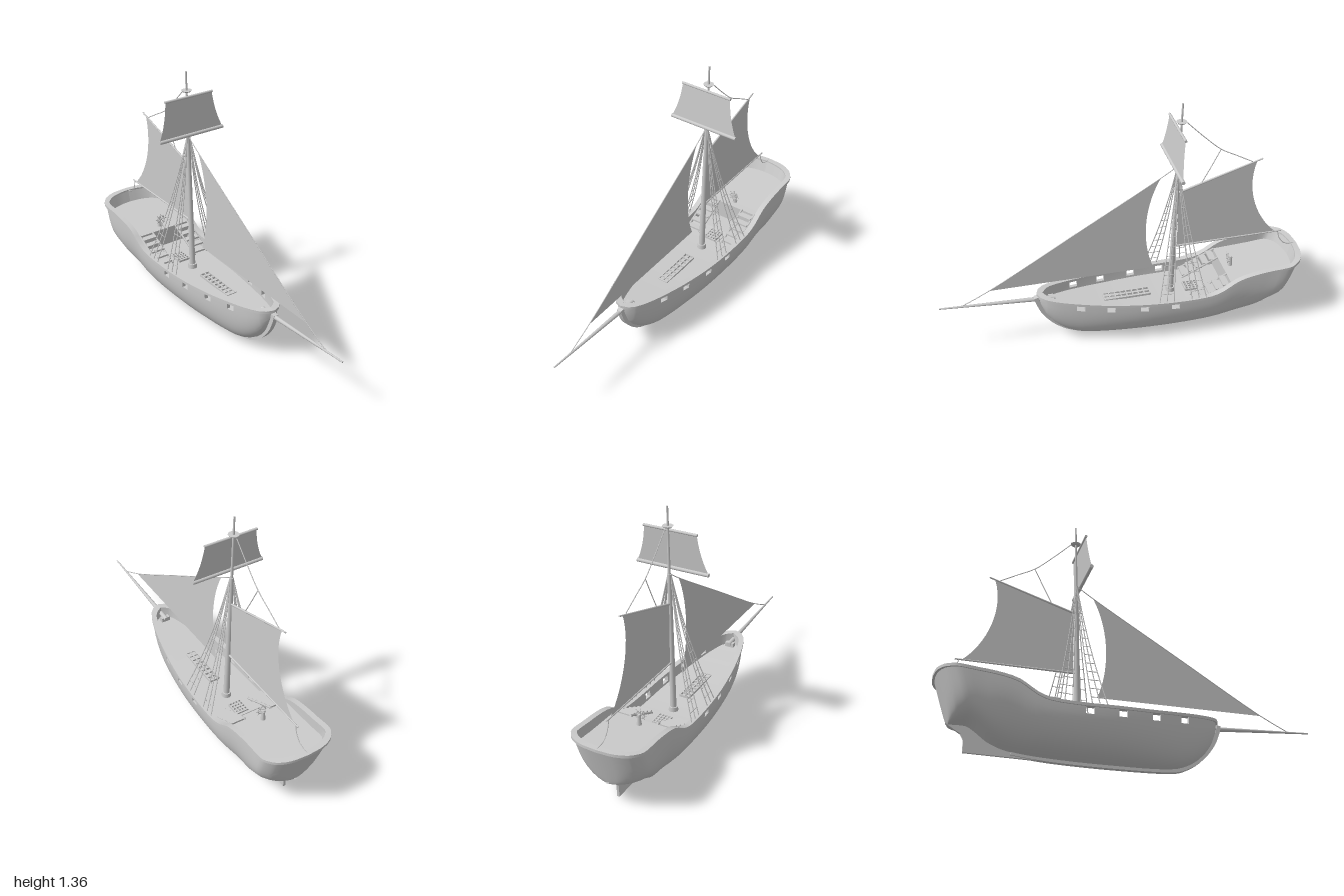
import * as THREE from 'three';
import { toCreasedNormals } from 'three/addons/utils/BufferGeometryUtils.js';

const solid = new THREE.MeshStandardMaterial({ color: 0xcccccc });
const thin = new THREE.MeshStandardMaterial({ color: 0xcccccc, side: THREE.DoubleSide });
const V = (x, y, z) => new THREE.Vector3(x, y, z);
const clamp = THREE.MathUtils.clamp;

// Smooth lookup through [s, value] pairs
function lookup(t) {
  const slope = i => {
    const a = t[Math.max(i - 1, 0)], b = t[Math.min(i + 1, t.length - 1)];
    return (b[1] - a[1]) / (b[0] - a[0]);
  };
  return s => {
    let i = 0;
    while (i < t.length - 2 && s > t[i + 1][0]) i++;
    const h = t[i + 1][0] - t[i][0], u = clamp((s - t[i][0]) / h, 0, 1), v = 1 - u;
    return (1 + 2 * u) * v * v * t[i][1] + u * v * v * h * slope(i)
      + u * u * (3 - 2 * u) * t[i + 1][1] - u * u * v * h * slope(i + 1);
  };
}

// Hull lines by station (stern -1 to bow 0.48): half breadth, keel height, rail height
const beamTable = [[-1, 0], [-.995, .07], [-.98, .125], [-.95, .17], [-.9, .2], [-.8, .2], [-.5, .2], [-.3, .197],
  [-.1, .187], [.1, .16], [.25, .13], [.36, .1], [.43, .07], [.465, .04], [.48, 0]];
const keelTable = [[-1, .15], [-.9, .15], [-.84, .125], [-.75, .08], [-.6, .04], [-.4, .023], [-.1, .018],
  [.2, .025], [.3, .05], [.38, .105], [.44, .18], [.47, .25], [.48, .29]];
const beam = lookup(beamTable), keelY = lookup(keelTable);
const railY = lookup([[-1, .4], [-.85, .385], [-.7, .37], [-.6, .345], [-.52, .295], [-.45, .27], [-.3, .262],
  [-.1, .267], [.1, .277], [.3, .294], [.48, .31]]);
const deckY = s => s < -.57 ? .31 - (s + .57) * .05 : s < -.45 ? .204 : railY(s) - .062;

// Point on the hull skin at station s and height y, moved inward by inset
function skin(s, y, inset, side) {
  const k = keelY(s), r = railY(s);
  y = Math.max(y, k);
  const u = clamp((y - k) / (r - k), 0, 1);
  const stern = THREE.MathUtils.smoothstep(-s, .6, .95);
  const p = 2.5 + 1.5 * stern;
  const full = Math.pow(1 - Math.pow(1 - u, p), 1 / p);
  const end = s < -.9 ? (-.9 - s) / .1 : s > .4 ? -(s - .4) / .08 : 0;
  return [side * Math.max(0, beam(s) - inset) * full, y, s + .08 * stern * (1 - u) + inset * end];
}

// Surface from a grid of points, with optional missing cells
function grid(nu, nv, fn, skip = () => false) {
  const pos = [], index = [];
  for (let i = 0; i < nu; i++) for (let j = 0; j < nv; j++) pos.push(...fn(i, j));
  for (let i = 0; i < nu - 1; i++) for (let j = 0; j < nv - 1; j++) {
    if (skip(i, j)) continue;
    const a = i * nv + j, b = a + nv;
    index.push(a, a + 1, b, b, a + 1, b + 1);
  }
  const g = new THREE.BufferGeometry();
  g.setAttribute('position', new THREE.Float32BufferAttribute(pos, 3));
  g.setIndex(index);
  return toCreasedNormals(g, .6);
}

export function createModel() {
  const ship = new THREE.Group();
  ship.name = 'sailingShip';
  const add = (name, geo, mat = solid, parent = ship) => {
    const m = new THREE.Mesh(geo, mat);
    m.name = name;
    parent.add(m);
    return m;
  };
  const box = (name, w, h, d, x, y, z, parent) =>
    add(name, new THREE.BoxGeometry(w, h, d), solid, parent).position.set(x, y, z);
  const rod = (name, a, b, r0, r1 = r0, n = 10, parent = ship) => {
    const d = b.clone().sub(a);
    const m = add(name, new THREE.CylinderGeometry(r1, r0, d.length(), n), solid, parent);
    m.position.copy(a).add(b).multiplyScalar(.5);
    m.quaternion.setFromUnitVectors(V(0, 1, 0), d.normalize());
  };
  const rope = (name, pts, r = .0025, parent = ship) =>
    add(name, new THREE.TubeGeometry(new THREE.CatmullRomCurve3(pts), 16, r, 5), solid, parent);

  // Stations, with extra ones at the port edges and the deck step
  const ports = [.26, .1, -.08, -.25], half = .022;
  const st = beamTable.map(e => e[0]);
  for (let s = -.96; s < .48; s += .04) st.push(s);
  for (const p of ports) st.push(p - half, p + half);
  st.push(-.5705, -.5695, -.4505, -.4495, -.99, -.965, .475);
  st.sort((a, b) => a - b);
  const N = st.length;
  const inPort = i => ports.some(p => Math.abs((st[i] + st[i + 1]) / 2 - p) < half);
  const sill = s => railY(s) - .05, lintel = s => railY(s) - .012;

  // Hull skin from rail to rail under the keel
  const R = 14, top = R + 2;
  add('hull', grid(N, 2 * top + 1, (i, j) => {
    const s = st[i], n = Math.abs(j - top), k = keelY(s);
    const y = n <= R ? k + Math.max(0, sill(s) - k) * (1 - Math.cos(n / R * Math.PI / 2))
      : n === R + 1 ? lintel(s) : railY(s);
    return skin(s, y, .008, Math.sign(j - top));
  }, (i, j) => inPort(i) && (j === 1 || j === 2 * top - 2)), thin);

  // Inner bulwarks, rail cap and port reveals on both sides
  for (const side of [-1, 1]) {
    add('bulwark', grid(N, 4, (i, j) => {
      const s = st[i];
      const y = [deckY(s), Math.max(deckY(s), sill(s)), lintel(s), railY(s)][j];
      return skin(s, y, .028, side);
    }, (i, j) => j === 1 && inPort(i)), thin);
    add('railCap', grid(N, 5, (i, j) => {
      const s = st[i], p = skin(s, railY(s), j === 1 || j === 2 ? .03 : 0, side);
      p[1] += j === 2 || j === 3 ? -.013 : .002;
      return p;
    }), thin);
    for (const c of ports) add('gunPort', grid(5, 2, (i, j) => {
      const s = c + (i === 1 || i === 2 ? half : -half);
      return skin(s, i > 1 && i < 4 ? lintel(s) : sill(s), j ? .028 : .008, side);
    }), thin);
  }
  // Main deck and raised quarterdeck in one stepped sheet
  add('deck', grid(N, 3, (i, j) => skin(st[i], deckY(st[i]), .028, j - 1)), thin);

  // Keel with stem, and the fin below the stern
  const profile = (name, pts, depth) => {
    const g = new THREE.ExtrudeGeometry(new THREE.Shape(pts), { depth, bevelEnabled: false });
    add(name, toCreasedNormals(g.translate(0, 0, -depth / 2).rotateY(-Math.PI / 2), .5));
  };
  const line = new THREE.SplineCurve(keelTable.slice(4).map(e => new THREE.Vector2(...e)));
  const edge = off => line.getPoints(40).map((p, i) => {
    const t = line.getTangent(i / 40);
    return new THREE.Vector2(p.x + t.y * off, p.y - t.x * off);
  });
  profile('keel', [...edge(.015), ...edge(-.008).reverse()], .028);
  profile('sternFin', [[-.35, .01], [-.57, .014], [-.83, .018], [-.83, .08], [-.845, .11], [-.92, .155], [-.88, .19],
    [-.6, .07], [-.35, .035]].map(p => new THREE.Vector2(...p)), .014);

  // Spars
  const mastZ = y => -.27 - .03 * (y - .2);
  const mastAt = y => V(0, y, mastZ(y));
  rod('mast', mastAt(.2), mastAt(1), .017, .011, 14);
  rod('topmast', mastAt(.94), mastAt(1.36), .008, .005);
  const crosstree = add('crosstree', new THREE.CylinderGeometry(.028, .022, .007, 16));
  crosstree.position.copy(mastAt(1.255));
  rod('mastCollar', mastAt(.2), mastAt(.225), .026, .024, 14);
  rod('bowsprit', V(0, .268, .38), V(0, .304, 1), .014, .004);
  box('bowspritBitt', .05, .025, .025, 0, .262, .4);
  rod('gaff', V(0, .838, -.3), V(0, .982, -.755), .006, .004);
  rod('boom', V(0, .497, -.28), V(0, .5, -.9), .006, .004);
  rod('lowerYard', V(-.2, 1.022, -.26), V(.2, 1.022, -.26), .01);
  rod('upperYard', V(-.148, 1.228, -.281), V(.148, 1.228, -.281), .007);

  // Sails
  const sail = (name, build) => {
    const shape = new THREE.Shape();
    build(shape);
    return add(name, new THREE.ShapeGeometry(shape, 16), thin);
  };
  sail('jib', s => s.moveTo(.73, .375).lineTo(-.2, .94)
    .bezierCurveTo(-.1, .75, -.11, .52, -.17, .375)).rotation.y = -Math.PI / 2;
  sail('spanker', s => s.moveTo(-.3, .5).lineTo(-.3, .838).lineTo(-.725, .97)
    .bezierCurveTo(-.67, .8, -.75, .6, -.865, .5)).rotation.y = -Math.PI / 2;
  const topsail = sail('topsail', s => s.moveTo(-.2, 0).lineTo(.2, 0).quadraticCurveTo(.155, .09, .145, .207)
    .lineTo(-.145, .207).quadraticCurveTo(-.155, .09, -.2, 0));
  topsail.position.set(0, 1.022, -.26);
  topsail.rotation.x = -.1;

  // Running ropes
  rope('forestay', [V(0, .3, .88), V(0, .375, .73), V(0, .66, .26), V(0, .94, -.2), V(0, 1, -.29)]);
  rope('peakHalyard', [V(0, 1.25, -.33), V(0, 1.16, -.42), V(0, 1.07, -.52), V(0, 1.02, -.61), V(0, .97, -.7)]);
  rope('halyardBridle', [V(0, 1.07, -.52), V(0, .97, -.47), V(0, .875, -.42)]);
  rope('mainSheet', [V(0, .5, -.88), V(0, .45, -.895), V(0, .41, -.93), V(0, .4, -.99)]);

  // Shrouds with ratlines, two ladders on each side
  for (const side of [-1, 1]) for (const feet of [[-.16, -.2, -.24], [-.34, -.38, -.42]]) {
    const ladder = new THREE.Group();
    ladder.name = 'shrouds';
    ship.add(ladder);
    const at = (foot, t) => V(side * (.008 + (beam(foot) - .018) * (.6 * t + .4 * t * t)), 1 - t * (1 - railY(foot)),
      THREE.MathUtils.lerp(-.292, foot, .75 * t + .25 * t * t));
    for (const f of feet) rope('shroud', [0, .25, .5, .75, 1].map(t => at(f, t)), .0028, ladder);
    for (let i = 1; i <= 12; i++) {
      const t = .1 + i * .07;
      rod('ratline', at(feet[0], t), at(feet[2], t), .002, .002, 5, ladder);
    }
  }

  // Gratings on the main deck
  const grating = (z0, z1, w, rows, cols) => {
    const g = new THREE.Group(), zc = (z0 + z1) / 2, y = deckY(zc) + .006;
    g.name = 'hatchGrating';
    ship.add(g);
    for (let i = 0; i <= rows; i++) box('crossBar', w, .012, .006, 0, y, z0 + (z1 - z0) * i / rows, g);
    for (let i = 0; i <= cols; i++) box('longBar', .006, .012, z1 - z0, w * (i / cols - .5), y, zc, g);
  };
  grating(-.15, .11, .055, 8, 2);
  grating(-.43, -.35, .07, 4, 4);

  // Stairs up to the quarterdeck
  for (const side of [-1, 1]) {
    for (let i = 0; i < 5; i++) box('step', .085, .01, .036, side * .12, .222 + i * .02, -.38 - i * .04);
    for (const x of [.078, .162])
      rod('stringer', V(side * x, .21, -.36), V(side * x, .315, -.57), .006, .006, 6);
  }

  // Steering wheel on its post
  const wheel = new THREE.Group();
  wheel.name = 'steeringWheel';
  wheel.position.set(0, .362, -.6);
  ship.add(wheel);
  add('rim', new THREE.TorusGeometry(.022, .003, 6, 20), solid, wheel);
  for (let i = 0; i < 8; i++) {
    const a = i * Math.PI / 4;
    rod('spoke', V(0, 0, 0), V(Math.cos(a) * .035, Math.sin(a) * .035, 0), .002, .002, 5, wheel);
  }
  rod('wheelPost', V(0, .31, -.615), V(0, .37, -.615), .014, .007, 8);
  rod('wheelAxle', V(0, .362, -.625), V(0, .362, -.595), .005, .005, 8);
  return ship;
}
